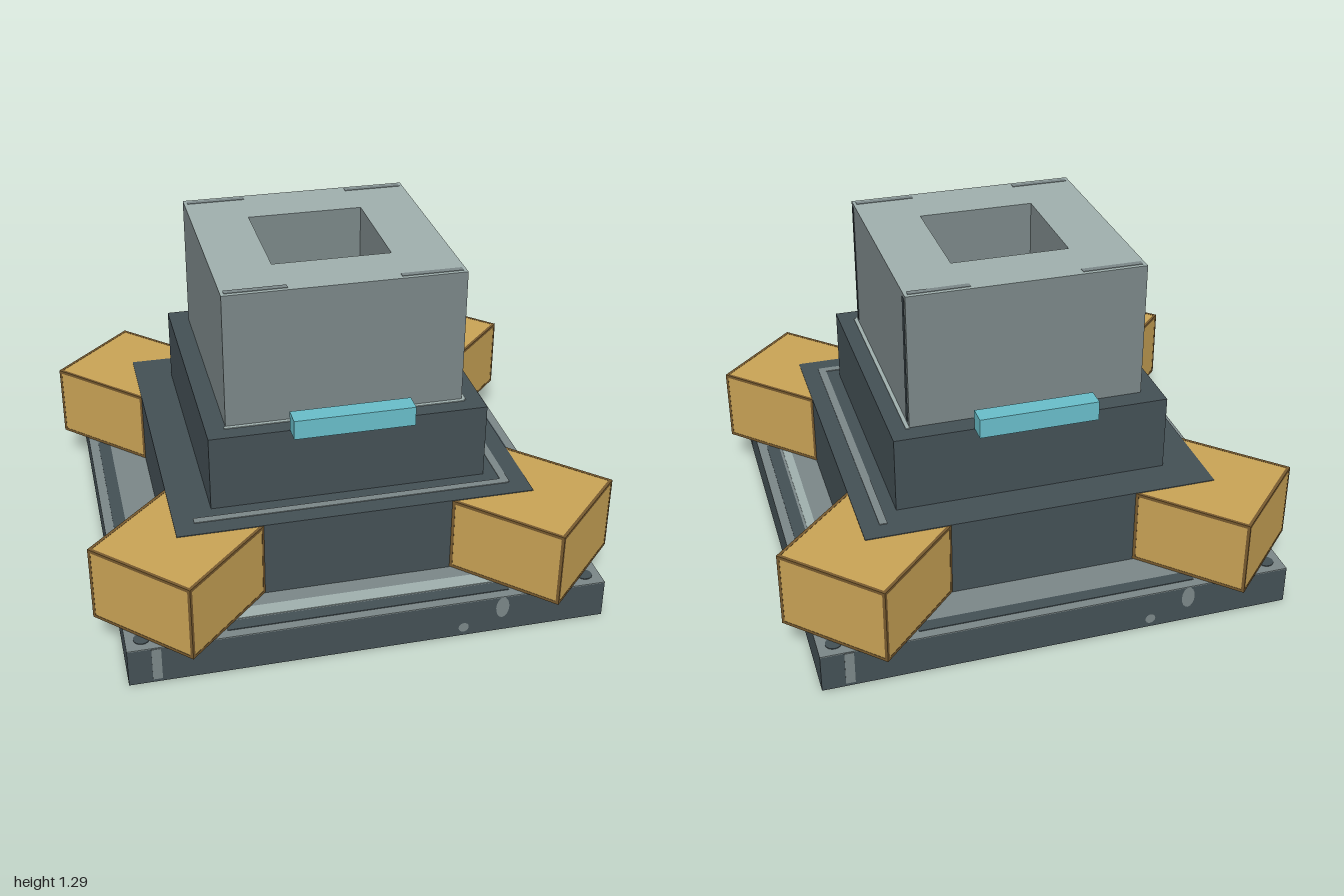
import * as THREE from 'three';

const mat = (name, color) => new THREE.MeshStandardMaterial({ name, color });

export function createModel() {
  const slate = mat('slate', 0x434f54);
  const grey = mat('midGrey', 0x7a8687);
  const pale = mat('paleGrey', 0x9eaeac);
  const brass = mat('brass', 0xc8a255);
  const brown = mat('brownEdge', 0x76592e);
  const cyan = mat('cyanGlass', 0x68bcc8);

  const model = new THREE.Group();
  model.name = 'steppedPedestal';

  // Box given by its centre and size
  function box(parent, name, material, [x, y, z], [w, h, d]) {
    const mesh = new THREE.Mesh(new THREE.BoxGeometry(w, h, d), material);
    mesh.name = name;
    mesh.position.set(x, y, z);
    parent.add(mesh);
    return mesh;
  }
  // Square tier standing between two heights
  const tier = (name, material, half, y0, y1) =>
    box(model, name, material, [0, (y0 + y1) / 2, 0], [half * 2, y1 - y0, half * 2]);

  // Stepped body
  tier('baseSlab', slate, 0.905, 0, 0.148);
  tier('baseDeck', grey, 0.905, 0.148, 0.152);
  tier('middleTier', slate, 0.68, 0.152, 0.457);
  tier('upperTier', slate, 0.53, 0.457, 0.755);

  // Hollow top block: pale rim, darker walls
  const square = (Type, h) => {
    const s = new Type();
    s.moveTo(-h, -h).lineTo(h, -h).lineTo(h, h).lineTo(-h, h).closePath();
    return s;
  };
  // moveTo and lineTo return the path itself, so the outline can hold the opening
  const outline = square(THREE.Shape, 0.453);
  outline.holes.push(square(THREE.Path, 0.227));
  const blockGeometry = new THREE.ExtrudeGeometry(outline, { depth: 0.53, bevelEnabled: false });
  blockGeometry.rotateX(-Math.PI / 2);
  const block = new THREE.Mesh(blockGeometry, [pale, grey]);
  block.name = 'hollowBlock';
  block.position.y = 0.755;
  model.add(block);

  // Worn corners of the rim and block sides
  for (const sx of [-1, 1]) {
    for (const sz of [-1, 1]) {
      box(model, 'rimMark', grey, [sx * 0.325, 1.285, sz * 0.425], [0.23, 0.004, 0.024]);
    }
  }
  box(model, 'blockSeam', slate, [0.453, 1.02, 0.425], [0.004, 0.5, 0.012]);
  box(model, 'blockSeam', slate, [0.453, 1.02, -0.422], [0.004, 0.5, 0.024]);

  // Pale edging at the foot of the block
  box(model, 'footEdging', pale, [0.46, 0.756, 0], [0.016, 0.004, 0.92]);
  box(model, 'footEdging', pale, [0, 0.756, 0.46], [0.92, 0.004, 0.016]);

  // Light bars, front and back
  for (const s of [-1, 1]) {
    box(model, 'lightBar', cyan, [0, 0.797, s * 0.567], [0.456, 0.076, 0.074]);
  }

  // Brass corner blocks with brown edging
  const side = 0.453, height = 0.3, rim = 0.012;
  for (const sx of [-1, 1]) {
    for (const sz of [-1, 1]) {
      const corner = new THREE.Group();
      corner.name = 'cornerBlock';
      corner.position.set(sx * 0.68, 0.305, sz * 0.68);
      corner.rotation.y = Math.PI / 4;
      box(corner, 'brassBody', brass, [0, 0, 0], [side - 0.002, height - 0.002, side - 0.002]);
      const e = (side - rim) / 2, v = (height - rim) / 2;
      for (const a of [-1, 1]) {
        for (const b of [-1, 1]) {
          box(corner, 'brownEdge', brown, [a * e, 0, b * e], [rim, height, rim]);
          box(corner, 'brownEdge', brown, [0, a * v, b * e], [side, rim, rim]);
          box(corner, 'brownEdge', brown, [b * e, a * v, 0], [rim, rim, side]);
        }
      }
      model.add(corner);

      // Deck rivet beyond the brass
      const rivet = new THREE.Mesh(new THREE.CylinderGeometry(0.03, 0.03, 0.004, 16), slate);
      rivet.name = 'deckRivet';
      rivet.position.set(sx * 0.845, 0.153, sz * 0.845);
      model.add(rivet);
    }
  }

  // Grooves on the deck and scuffs on each face of the slab
  const scuff = (parent, x, y, rx, ry) => {
    const mesh = new THREE.Mesh(new THREE.CircleGeometry(1, 16), grey);
    mesh.name = 'slabScuff';
    mesh.scale.set(rx, ry, 1);
    mesh.position.set(x, y, 0.907);
    parent.add(mesh);
  };
  for (let i = 0; i < 4; i++) {
    const face = new THREE.Group();
    face.name = 'slabFace';
    face.rotation.y = i * Math.PI / 2;
    box(face, 'deckGroove', slate, [0, 0.153, 0.843], [1.07, 0.004, 0.05]);
    box(face, 'slabScuff', grey, [-0.8, 0.08, 0.905], [0.035, 0.135, 0.004]);
    scuff(face, 0.5, 0.105, 0.026, 0.046);
    scuff(face, 0.35, 0.037, 0.02, 0.02);
    model.add(face);
  }
  box(model, 'deckHighlight', pale, [0, 0.153, 0.78], [0.98, 0.004, 0.06]);
  box(model, 'deckHighlight', pale, [0.79, 0.153, 0], [0.035, 0.004, 0.98]);

  // L-shaped line on the middle tier
  box(model, 'tierLine', grey, [0.595, 0.458, 0], [0.03, 0.004, 1.21]);
  box(model, 'tierLine', grey, [0, 0.458, 0.595], [1.21, 0.004, 0.03]);

  // Scratches under the slab
  const scratch = (x0, z0, x1, z1) => {
    const mesh = box(model, 'underScratch', grey, [(x0 + x1) / 2, 0.001, (z0 + z1) / 2],
      [0.03, 0.004, Math.hypot(x1 - x0, z1 - z0)]);
    mesh.rotation.y = Math.atan2(x1 - x0, z1 - z0);
  };
  scratch(0.83, 0.77, 0.83, -0.75);
  scratch(0.75, -0.83, -0.75, -0.83);
  scratch(-0.35, 0.68, -0.35, 0.1);
  scratch(-0.35, 0.1, -0.52, -0.15);
  scratch(-0.52, -0.15, -0.52, -0.63);

  return model;
}
